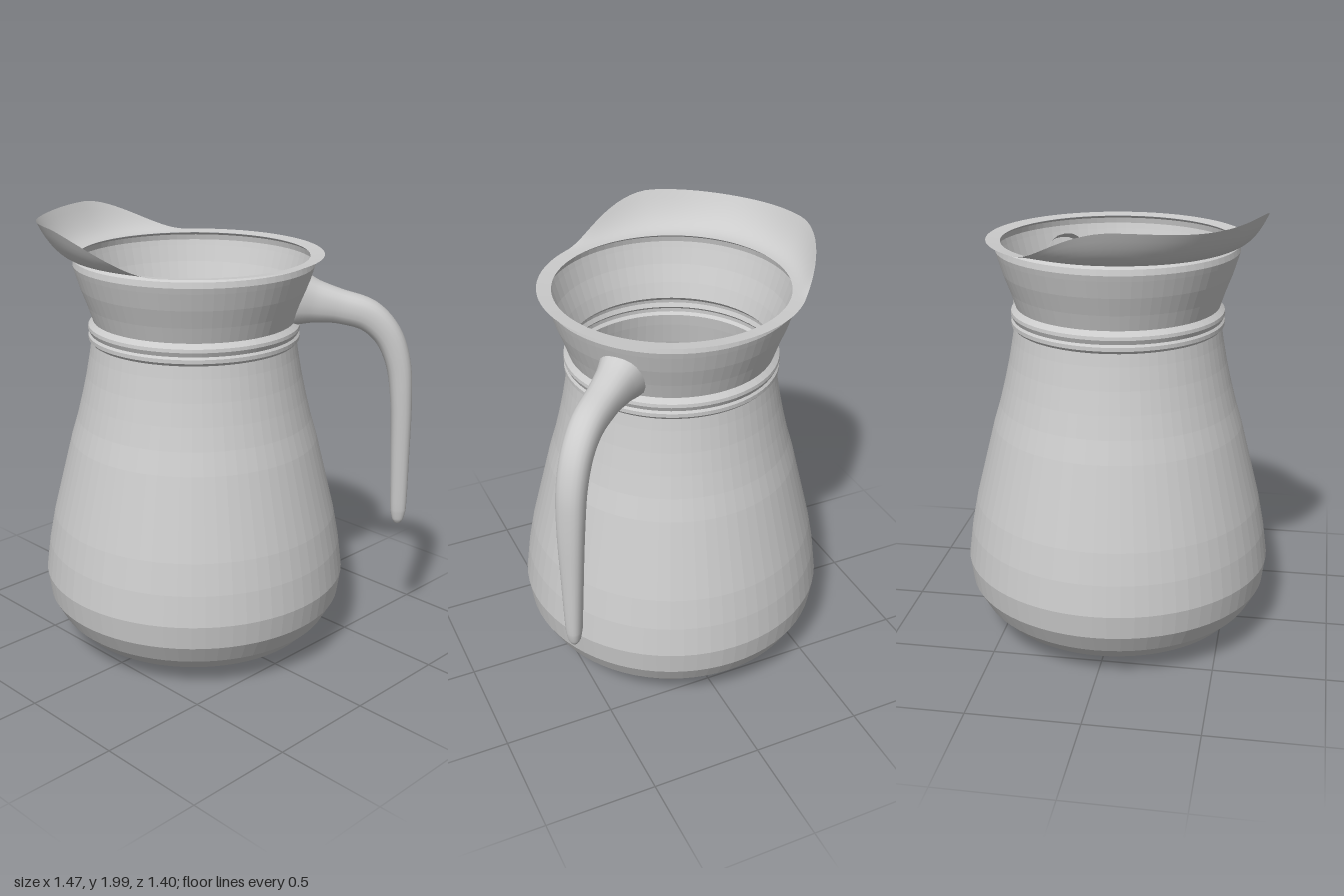
import * as THREE from 'three';

const AXIS_X = -0.035;
const TURN = THREE.MathUtils.degToRad(40); // handle points right-back, spout left-front

// Grid surface from a point rule; u runs along rows, v around columns
function gridSurface(rows, cols, point) {
  const pos = [], idx = [];
  for (let i = 0; i <= rows; i++)
    for (let j = 0; j < cols; j++) pos.push(...point(i / rows, j / cols));
  for (let i = 0; i < rows; i++)
    for (let j = 0; j < cols; j++) {
      const k = (j + 1) % cols;
      const a = i * cols + j, b = i * cols + k, c = a + cols, d = b + cols;
      idx.push(a, b, c, b, d, c);
    }
  const g = new THREE.BufferGeometry();
  g.setAttribute('position', new THREE.Float32BufferAttribute(pos, 3));
  g.setIndex(idx);
  g.computeVertexNormals();
  return g;
}

// Turned vessel wall with a pleated, slightly conical base
function bodyGeometry() {
  const profile = [
    [0, 0.005], [0.41, 0.033], [0.46, 0.045], [0.57, 0.095], [0.635, 0.16], [0.685, 0.25],
    [0.7, 0.36], [0.682, 0.5], [0.655, 0.64], [0.615, 0.8], [0.565, 1.0], [0.535, 1.1],
    [0.51, 1.2], [0.488, 1.3], [0.47, 1.4], [0.462, 1.455], [0.474, 1.468], [0.474, 1.485],
    [0.466, 1.495], [0.475, 1.515], [0.473, 1.53], [0.452, 1.55], [0.475, 1.62],
    [0.505, 1.7], [0.528, 1.775], [0.535, 1.8], [0.53, 1.825], [0.515, 1.836]
  ].map(([r, y]) => new THREE.Vector2(r, y));
  const segments = 72, n = profile.length;
  const g = new THREE.LatheGeometry(profile, segments);
  const p = g.attributes.position;
  // Zigzag ring at the foot
  for (let s = 0; s <= segments; s++) {
    const i = s * n + 1, k = s % 2 ? 1.07 : 0.93;
    p.setXYZ(i, p.getX(i) * k, p.getY(i), p.getZ(i) * k);
  }
  g.computeVertexNormals();
  return g;
}

// Thin flange whose edge rises into a broad pouring lip opposite the handle
function rimGeometry() {
  return gridSurface(10, 120, (u, v) => {
    const a = v * Math.PI * 2;
    const off = Math.abs(THREE.MathUtils.radToDeg(a) - 180);
    const s = 1 - THREE.MathUtils.smoothstep(off, 33, 80);
    const mid = 1 - THREE.MathUtils.smoothstep(off, 0, 34);
    const edge = 0.575 + 0.095 * s + 0.02 * mid;
    const r = THREE.MathUtils.lerp(0.512, edge, u);
    const y = 1.838 + 0.007 * u + (0.155 * s - 0.015 * mid) * u ** 2.4;
    return [r * Math.cos(a), y, r * Math.sin(a)];
  });
}

// Hanging handle: oval sections swept along a curve, flared at the root, tapering to the tip
function handleGeometry() {
  // radius, height, half thickness, half width
  const stations = [
    [0.46, 1.65, 0.125, 0.105], [0.54, 1.635, 0.095, 0.085], [0.65, 1.615, 0.075, 0.072],
    [0.775, 1.578, 0.07, 0.068], [0.862, 1.495, 0.063, 0.065], [0.915, 1.37, 0.056, 0.063],
    [0.938, 1.2, 0.049, 0.059], [0.948, 0.9, 0.042, 0.045], [0.953, 0.66, 0.036, 0.033],
    [0.953, 0.61, 0.026, 0.024], [0.953, 0.59, 0.013, 0.012], [0.953, 0.585, 0.0005, 0.0005]
  ];
  const path = new THREE.CatmullRomCurve3(stations.map(([r, y]) => new THREE.Vector3(r, y, 0)));
  const size = new THREE.CatmullRomCurve3(stations.map(([, , t, w]) => new THREE.Vector3(t, w, 0)));
  const round = (c) => Math.sign(c) * Math.abs(c) ** 0.85;
  return gridSurface(55, 20, (u, v) => {
    const c = path.getPoint(u), d = path.getTangent(u), s = size.getPoint(u);
    const a = v * Math.PI * 2;
    const t = s.x * round(Math.cos(a)), w = s.y * round(Math.sin(a));
    return [c.x - d.y * t, c.y + d.x * t, w];
  });
}

export function createModel() {
  const model = new THREE.Group();
  model.name = 'pitcher';
  const add = (name, geometry, options = {}) => {
    const mesh = new THREE.Mesh(geometry,
      new THREE.MeshStandardMaterial({ color: 0xcccccc, side: THREE.DoubleSide, ...options }));
    mesh.name = name;
    mesh.position.x = AXIS_X;
    mesh.rotation.y = TURN;
    model.add(mesh);
  };
  add('body', bodyGeometry(), { flatShading: true });
  add('rimAndSpout', rimGeometry());
  add('handle', handleGeometry());
  return model;
}
